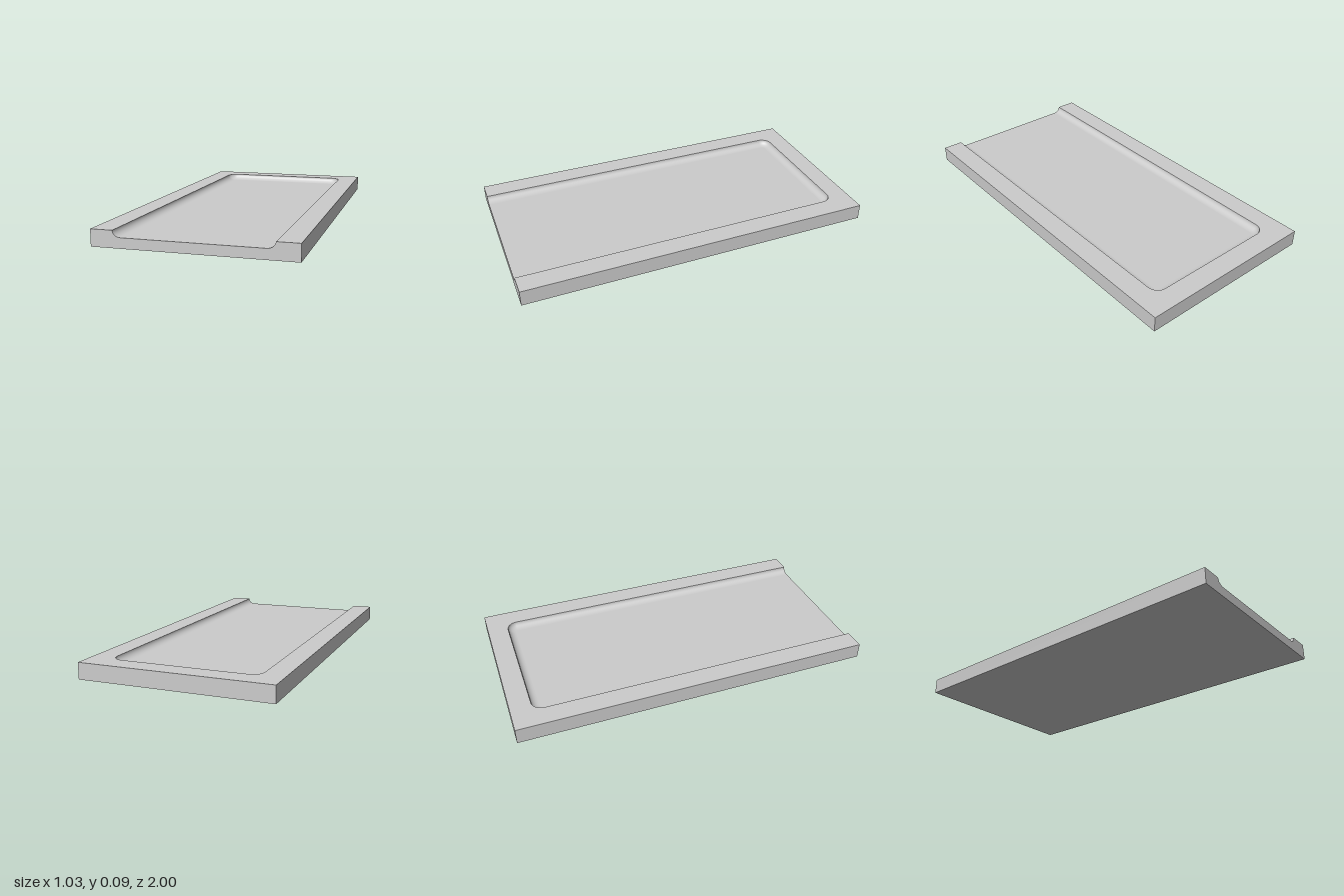
import * as THREE from 'three';

const W = 0.516, L = 1, H = 0.088;            // half width, half length, height
const FLOOR = 0.054, INNER = 0.4, BACK = -0.885; // recess floor, half width, rear edge
const CORNER = 0.06, FILLET = 0.042;          // plan corner radius, fillet run

// Fillet steps from rim to floor: inset from the recess edge and height
const STEPS = Array.from({ length: 11 }, (_, k) => {
  const a = (k / 10) * Math.PI / 2;
  return { inset: FILLET * (1 - Math.cos(a)), y: H - (H - FLOOR) * Math.sin(a) };
});

// Recess outline as [x, z], open at the front, with rounded rear corners
function outline(inset) {
  const r = CORNER - inset, cx = INNER - CORNER, cz = BACK + CORNER;
  const pts = [[INNER - inset, L]];
  for (const side of [1, -1]) {
    for (let i = 0; i <= 10; i++) {
      const a = (side > 0 ? i / 10 : 1 - i / 10) * Math.PI / 2;
      pts.push([side * (cx + r * Math.cos(a)), cz - r * Math.sin(a)]);
    }
  }
  pts.push([-INNER + inset, L]);
  return pts;
}

const shapeOf = pts => new THREE.ShapeGeometry(new THREE.Shape(pts.map(p => new THREE.Vector2(...p))));

// Horizontal face from [x, z] points
const flat = (pts, y) => shapeOf(pts.map(([x, z]) => [x, -z])).rotateX(-Math.PI / 2).translate(0, y, 0);

// Curved wall swept round the recess
function filletWall() {
  const pos = [], index = [];
  const n = outline(0).length;
  STEPS.forEach(({ inset, y }, k) => {
    outline(inset).forEach(([x, z], i) => {
      pos.push(x, y, z);
      if (k < STEPS.length - 1 && i < n - 1) {
        const a = k * n + i;
        index.push(a, a + 1, a + n, a + 1, a + n + 1, a + n);
      }
    });
  });
  const geo = new THREE.BufferGeometry();
  geo.setAttribute('position', new THREE.Float32BufferAttribute(pos, 3));
  geo.setIndex(index);
  geo.computeVertexNormals();
  return geo;
}

export function createModel() {
  const group = new THREE.Group();
  group.name = 'openTray';
  const material = new THREE.MeshStandardMaterial({ color: 0xcccccc });
  const add = (name, geo) => {
    const mesh = new THREE.Mesh(geo, material);
    mesh.name = name;
    group.add(mesh);
  };

  // Recess and the U-shaped rim around it
  add('recessFloor', flat(outline(FILLET), FLOOR));
  add('recessWall', filletWall());
  add('rim', flat([[W, L], [W, -L], [-W, -L], [-W, L], ...outline(0).reverse()], H));

  // Front end, cut to the recess profile
  const notch = STEPS.map(({ inset, y }) => [INNER - inset, y]);
  const mirrored = notch.map(([x, y]) => [-x, y]).reverse();
  add('frontFace', shapeOf([[-W, 0], [W, 0], [W, H], ...notch, ...mirrored, [-W, H]]).translate(0, 0, L));

  // Plain outer faces
  add('backFace', new THREE.PlaneGeometry(2 * W, H).rotateY(Math.PI).translate(0, H / 2, -L));
  for (const [name, s] of [['leftFace', 1], ['rightFace', -1]]) {
    add(name, new THREE.PlaneGeometry(2 * L, H).rotateY(s * Math.PI / 2).translate(s * W, H / 2, 0));
  }
  add('underside', new THREE.PlaneGeometry(2 * W, 2 * L).rotateX(Math.PI / 2));
  return group;
}
